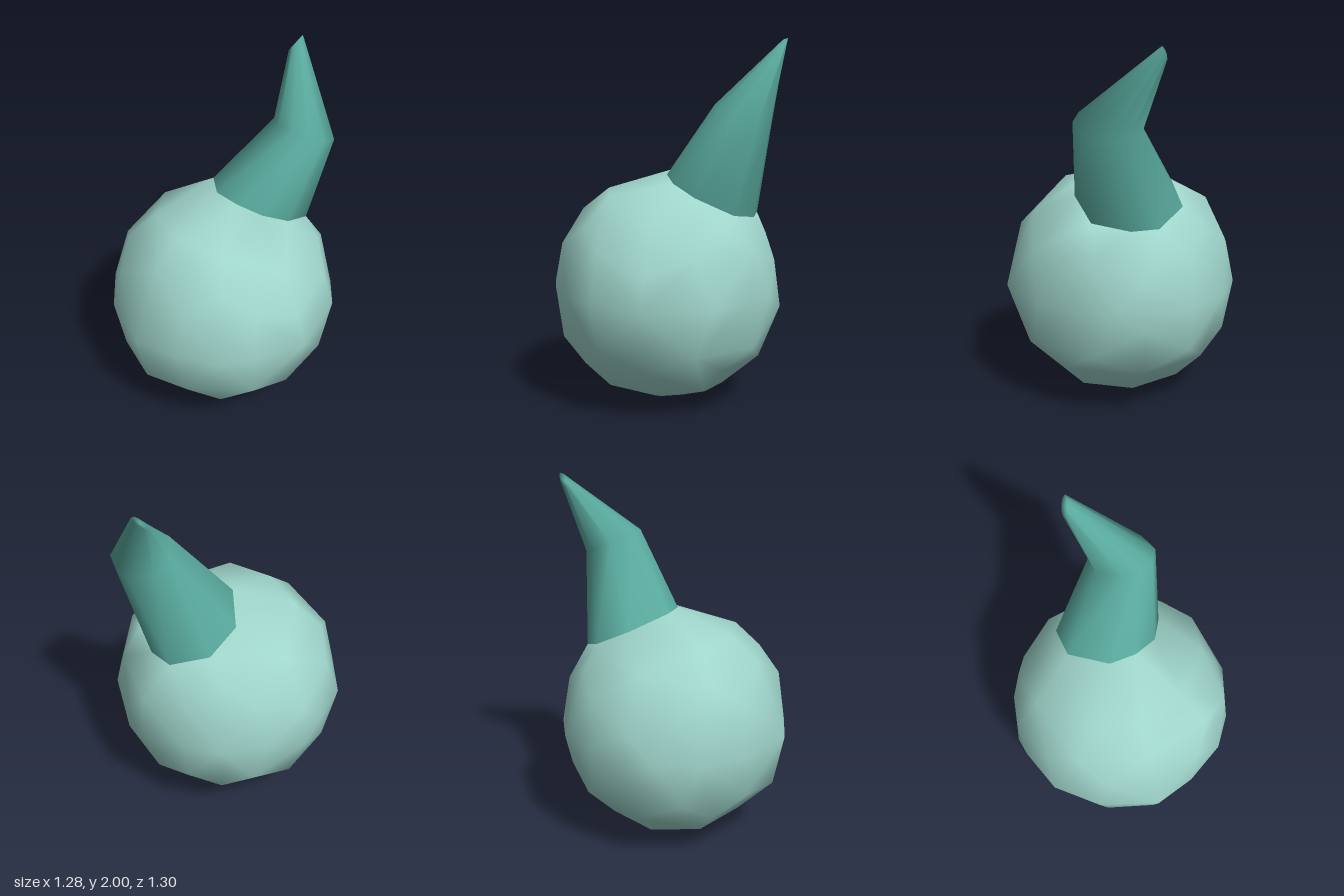
import * as THREE from 'three';
import { mergeVertices } from 'three/addons/utils/BufferGeometryUtils.js';
import { ConvexGeometry } from 'three/addons/geometries/ConvexGeometry.js';

const V = (x, y, z) => new THREE.Vector3(x, y, z);
const MID = 0.645; // height of the ball's centre
const RADIUS = 0.642;

// Seam where the stem meets the ball: [x, z] on a tilted plane
const seamHeight = (x, z) => 1.285 + 0.48 * z - 0.03 * x;
const seam = [[-0.26, -0.35], [-0.25, -0.16], [-0.06, -0.01], [0.09, -0.02], [0.22, -0.08],
  [0.29, -0.21], [0.24, -0.41], [0.05, -0.49], [-0.1, -0.49]]
  .map(([x, z]) => V(x, seamHeight(x, z), z));

// Faceted ball outlines in the three main planes
const acrossXY = [[0.48, 1.05], [0.58, 0.8], [0.64, 0.63], [0.52, 0.28], [0.32, 0.1], [0.16, 0.04],
  [-0.17, 0.04], [-0.34, 0.1], [-0.53, 0.27], [-0.64, 0.55], [-0.62, 0.79], [-0.49, 1.07]];
const acrossZY = [[0.65, 0.64], [0.48, 1.06], [0.33, 1.18], [-0.6, 0.81], [-0.635, 0.55],
  [-0.52, 0.26], [-0.32, 0.09], [-0.09, 0], [0.19, 0.04], [0.39, 0.15], [0.59, 0.35]];
const acrossXZ = [[0.55, 0.29], [0.44, 0.45], [0.23, 0.575], [-0.32, 0.55], [-0.53, 0.37],
  [-0.62, 0.13], [-0.59, -0.23], [-0.46, -0.455], [-0.27, -0.57], [0.15, -0.6], [0.38, -0.5], [0.52, -0.36]];

function ballGeometry() {
  const pts = [
    ...acrossXY.map(([x, y]) => V(x, y, 0)),
    ...acrossZY.map(([z, y]) => V(0, y, z)),
    ...acrossXZ.map(([x, z]) => V(x, MID, z)),
    ...seam.map((p) => p.clone()),
  ];
  // Four points inside each eighth of the ball, leaving the seam's flat clear
  const spread = [[1, 1, 1], [2, 1, 1], [1, 2, 1], [1, 1, 2]];
  for (const sx of [-1, 1]) for (const sy of [-1, 1]) for (const sz of [-1, 1]) {
    for (const [x, y, z] of spread) {
      const p = V(x * sx, y * sy, z * sz).setLength(RADIUS);
      p.y += MID;
      if (p.y < seamHeight(p.x, p.z) - 0.03) pts.push(p);
    }
  }
  const hull = new ConvexGeometry(pts);
  hull.deleteAttribute('normal');
  const geo = mergeVertices(hull, 1e-4);
  geo.computeVertexNormals();
  return geo;
}

// Crooked stem: the seam's shape carried up through a bend to a blunt tip
function stemGeometry() {
  const n = seam.length;
  const bend = { c: V(0.16, 1.6, -0.435), u: V(0.17, 0, 0), v: V(0, 0.06, 0.145) };
  const tip = { c: V(-0.08, 1.962, -0.609), u: V(0.02, 0.035, -0.02), v: V(0, -0.016, 0.03) };
  const ring = ({ c, u, v }) => seam.map((p) => c.clone()
    .addScaledVector(u, (p.x - 0.015) / 0.275)
    .addScaledVector(v, (p.z + 0.25) / 0.24));
  const pts = [...seam, ...ring(bend), ...ring(tip), tip.c];
  const index = [];
  for (let i = 0; i < n; i++) {
    const j = (i + 1) % n;
    for (const r of [0, n]) {
      index.push(r + i, r + j, r + n + j, r + i, r + n + j, r + n + i);
    }
    index.push(2 * n + i, 2 * n + j, 3 * n);
  }
  const geo = new THREE.BufferGeometry().setFromPoints(pts);
  geo.setIndex(index);
  geo.computeVertexNormals();
  return geo;
}

export function createModel() {
  const paleTeal = new THREE.MeshStandardMaterial({ color: 0xa0d6cc });
  paleTeal.name = 'paleTeal';
  const deepTeal = new THREE.MeshStandardMaterial({ color: 0x58a89c });
  deepTeal.name = 'deepTeal';

  const model = new THREE.Group();
  const ball = new THREE.Mesh(ballGeometry(), paleTeal);
  ball.name = 'ball';
  const stem = new THREE.Mesh(stemGeometry(), deepTeal);
  stem.name = 'stem';
  model.add(ball, stem);
  return model;
}
